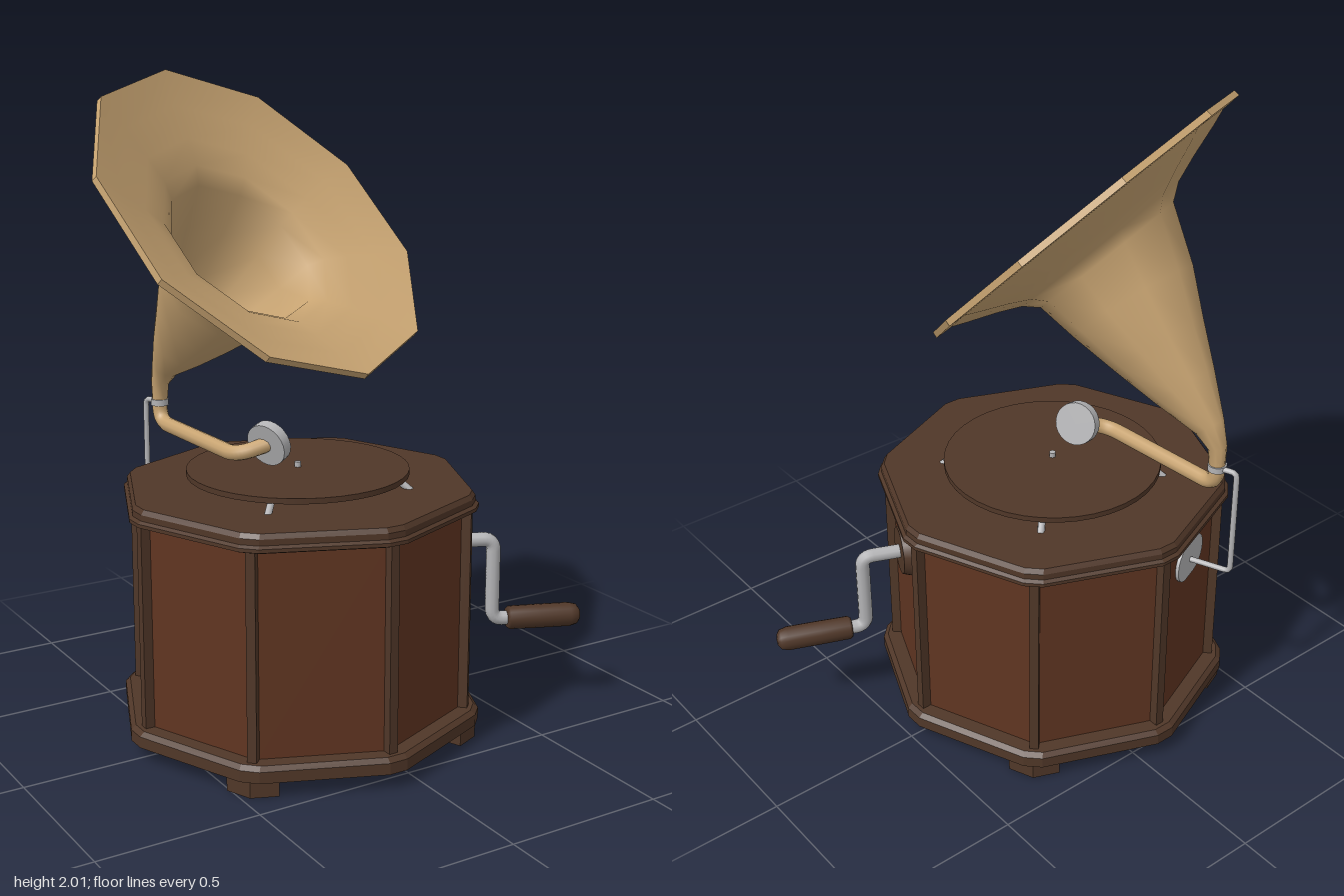
import * as THREE from 'three';

const V = (x, y, z) => new THREE.Vector3(x, y, z);
const D = Math.PI / 180;

// Skin through closed rings of points; smooth or faceted
function loft(rings, smooth) {
  const n = rings[0].length, pos = [], idx = [];
  rings.forEach(r => r.forEach(p => pos.push(p.x, p.y, p.z)));
  for (let i = 0; i < rings.length - 1; i++) for (let j = 0; j < n; j++) {
    const a = i * n + j, b = i * n + (j + 1) % n;
    idx.push(a, a + n, b, b, a + n, b + n);
  }
  let g = new THREE.BufferGeometry();
  g.setAttribute('position', new THREE.Float32BufferAttribute(pos, 3));
  g.setIndex(idx);
  if (!smooth) g = g.toNonIndexed();
  g.computeVertexNormals();
  return g;
}

// Octagonal moulding with trimmed corners from [radius, y] pairs
function octagon(profile) {
  return loft(profile.map(([r, y]) => {
    const ring = [];
    for (let k = 0; k < 8; k++) for (const s of [-3, 3]) {
      const a = (k * 45 + s) * D;
      ring.push(V(r * Math.cos(a), y, r * Math.sin(a)));
    }
    return ring;
  }), false);
}

// Tube along straight runs with rounded bends
function bentTube(points, radius, bend, segments = 48) {
  const path = new THREE.CurvePath();
  let from = points[0];
  for (let i = 1; i < points.length - 1; i++) {
    const p = points[i];
    const a = p.clone().add(points[i - 1].clone().sub(p).setLength(bend));
    const b = p.clone().add(points[i + 1].clone().sub(p).setLength(bend));
    path.add(new THREE.LineCurve3(from, a));
    path.add(new THREE.QuadraticBezierCurve3(a, p, b));
    from = b;
  }
  path.add(new THREE.LineCurve3(from, points[points.length - 1]));
  return new THREE.TubeGeometry(path, segments, radius, 10, false);
}

export function createModel() {
  const mat = (name, color, side = THREE.FrontSide) => {
    const m = new THREE.MeshStandardMaterial({ color, side });
    m.name = name;
    return m;
  };
  const trim = mat('darkWood', 0x503728);
  const wood = mat('redWood', 0x603521);
  const brass = mat('brass', 0xc8a472, THREE.DoubleSide);
  const steel = mat('steel', 0xb4b4b6);

  const model = new THREE.Group();
  model.name = 'gramophone';
  const add = (parent, name, geo, m, x = 0, y = 0, z = 0) => {
    const mesh = new THREE.Mesh(geo, m);
    mesh.name = name;
    mesh.position.set(x, y, z);
    parent.add(mesh);
    return mesh;
  };
  const group = (parent, name, rotY = 0) => {
    const g = new THREE.Group();
    g.name = name;
    g.rotation.y = rotY;
    parent.add(g);
    return g;
  };

  // Cabinet with recessed panels between corner posts
  const cabinet = group(model, 'cabinet');
  cabinet.position.set(-0.08, 0, 0.004);
  const body = new THREE.CylinderGeometry(0.513, 0.513, 0.66, 8, 1).toNonIndexed();
  body.computeVertexNormals();
  add(cabinet, 'panels', body, wood, 0, 0.41, 0);
  add(cabinet, 'base', octagon([[0, 0.05], [0.565, 0.05], [0.565, 0.085], [0.55, 0.098], [0, 0.098]]), trim);
  add(cabinet, 'lid', octagon([[0, 0.725], [0.535, 0.725], [0.553, 0.732], [0.553, 0.743], [0.542, 0.75],
    [0.542, 0.768], [0.532, 0.782], [0, 0.782]]), trim);
  for (let k = 0; k < 8; k++) {
    const post = group(cabinet, 'cornerPost', k * 45 * D);
    add(post, 'postStrip', new THREE.BoxGeometry(0.045, 0.64, 0.028), trim, 0.514, 0.41, 0);
  }

  // Bracket feet under alternate corners
  const c = 0.396, ex = 0.0326, ez = 0.0785, t = 0.045;
  const footShape = new THREE.Shape([
    [c, c], [c - ez, c + ex], [c - ez - t * 0.383, c + ex - t * 0.924], [c - 0.0345, c - 0.0345],
    [c + ex - t * 0.924, c - ez - t * 0.383], [c + ex, c - ez],
  ].map(p => new THREE.Vector2(...p)));
  const footGeo = new THREE.ExtrudeGeometry(footShape, { depth: 0.055, bevelEnabled: false }).rotateX(Math.PI / 2);
  for (let k = 0; k < 4; k++) add(cabinet, 'foot', footGeo, trim, 0, 0.055, 0).rotation.y = k * 90 * D;

  // Turntable with slanted pegs and spindle
  add(cabinet, 'turntable', new THREE.CylinderGeometry(0.34, 0.34, 0.017, 40), trim, 0, 0.819, 0);
  add(cabinet, 'spindle', new THREE.CylinderGeometry(0.01, 0.01, 0.065, 10), steel, 0, 0.811, 0);
  for (let k = 0; k < 4; k++) {
    const peg = group(cabinet, 'turntablePeg', (45 + 90 * k) * D);
    add(peg, 'peg', bentTube([V(0.35, 0.775, 0), V(0.325, 0.795, 0), V(0.295, 0.818, 0)], 0.011, 0.01, 8), steel);
  }

  // Winding crank; local x points out of the front left panel
  const crank = group(cabinet, 'crank', -22.5 * D);
  add(crank, 'crankBoss', new THREE.CylinderGeometry(0.075, 0.087, 0.035, 24).rotateZ(-Math.PI / 2), trim, 0.483, 0.567, 0);
  add(crank, 'crankArm', bentTube([V(0.47, 0.565, 0), V(0.62, 0.565, 0), V(0.62, 0.3, 0), V(0.69, 0.3, 0)], 0.0225, 0.035), steel);
  const grip = [[0, 0], [0.031, 0], [0.037, 0.008], [0.038, 0.1], [0.038, 0.205], [0.032, 0.228], [0.018, 0.238], [0, 0.24]];
  add(crank, 'crankHandle', new THREE.LatheGeometry(grip.map(p => new THREE.Vector2(...p)), 16).rotateZ(-Math.PI / 2),
    trim, 0.668, 0.3, 0);

  // Rear support; local x points out of the back right panel
  const support = group(cabinet, 'hornSupport', 112.5 * D);
  add(support, 'supportRod', bentTube([V(0.545, 0.955, 0), V(0.614, 0.955, 0), V(0.614, 0.6, 0), V(0.47, 0.6, 0)], 0.009, 0.018), steel);
  for (const z of [-0.027, 0.027])
    add(support, 'plateLobe', new THREE.CylinderGeometry(0.064, 0.064, 0.012, 20).rotateZ(Math.PI / 2), steel, 0.478, 0.605, z);
  add(support, 'plateCentre', new THREE.BoxGeometry(0.012, 0.128, 0.054), steel, 0.478, 0.605, 0);

  // Horn: ten-sided rings along a bent axis, flaring to the rim
  const axis = V(0.268, 0.702, 0.664).normalize(), centre = V(-0.215, 1.602, 0.043);
  const spoke = V(-0.115, 0.402, -0.38);
  const along = (s, drift = 0) => centre.clone().addScaledVector(axis, -s).add(V(drift, 0, drift * 0.6));
  const ringAt = (p, r, dir) => {
    const u = spoke.clone().addScaledVector(dir, -spoke.dot(dir)).normalize();
    const v = dir.clone().cross(u);
    return Array.from({ length: 10 }, (_, i) => p.clone()
      .addScaledVector(u, r * Math.cos(i * 36 * D)).addScaledVector(v, r * Math.sin(i * 36 * D)));
  };
  const neck = [
    [V(-0.296, 0.95, -0.5), 0.024], [V(-0.296, 1.02, -0.496), 0.029], [V(-0.29, 1.08, -0.465), 0.047],
    [V(-0.278, 1.175, -0.367), 0.1], [V(-0.264, 1.275, -0.263), 0.152], [V(-0.25, 1.38, -0.16), 0.205],
  ];
  const flare = [[0.155, 0.018, 0.25], [0.115, 0.014, 0.295], [0.08, 0.008, 0.37], [0.042, 0.002, 0.465], [0, 0, 0.568]];
  const rings = neck.map(([p, r], i) => {
    const a = neck[Math.max(i - 1, 0)][0], b = neck[Math.min(i + 1, neck.length - 1)][0];
    return ringAt(p, r, b.clone().sub(a).normalize());
  }).concat(flare.map(([s, drift, r]) => ringAt(along(s, drift), r, axis)));
  const horn = group(model, 'horn');
  add(horn, 'hornBell', loft(rings, true), brass);
  add(horn, 'hornRim', loft([ringAt(along(0.022), 0.52, axis), ringAt(along(0.02), 0.57, axis),
    ringAt(along(0), 0.568, axis)], false), brass);

  // Tone arm, collar and sound box
  add(horn, 'toneArm', bentTube([V(-0.296, 0.98, -0.5), V(-0.296, 0.89, -0.5), V(-0.272, 0.882, -0.03),
    V(-0.18, 0.912, 0)], 0.024, 0.055, 64), brass);
  add(horn, 'collar', new THREE.CylinderGeometry(0.029, 0.029, 0.02, 14), steel, -0.296, 0.955, -0.5);
  const soundBox = add(model, 'soundBox', new THREE.CylinderGeometry(0.068, 0.068, 0.034, 24), steel, -0.178, 0.914, 0);
  soundBox.quaternion.setFromUnitVectors(V(0, 1, 0), V(0.88, 0.28, -0.38).normalize());

  return model;
}
